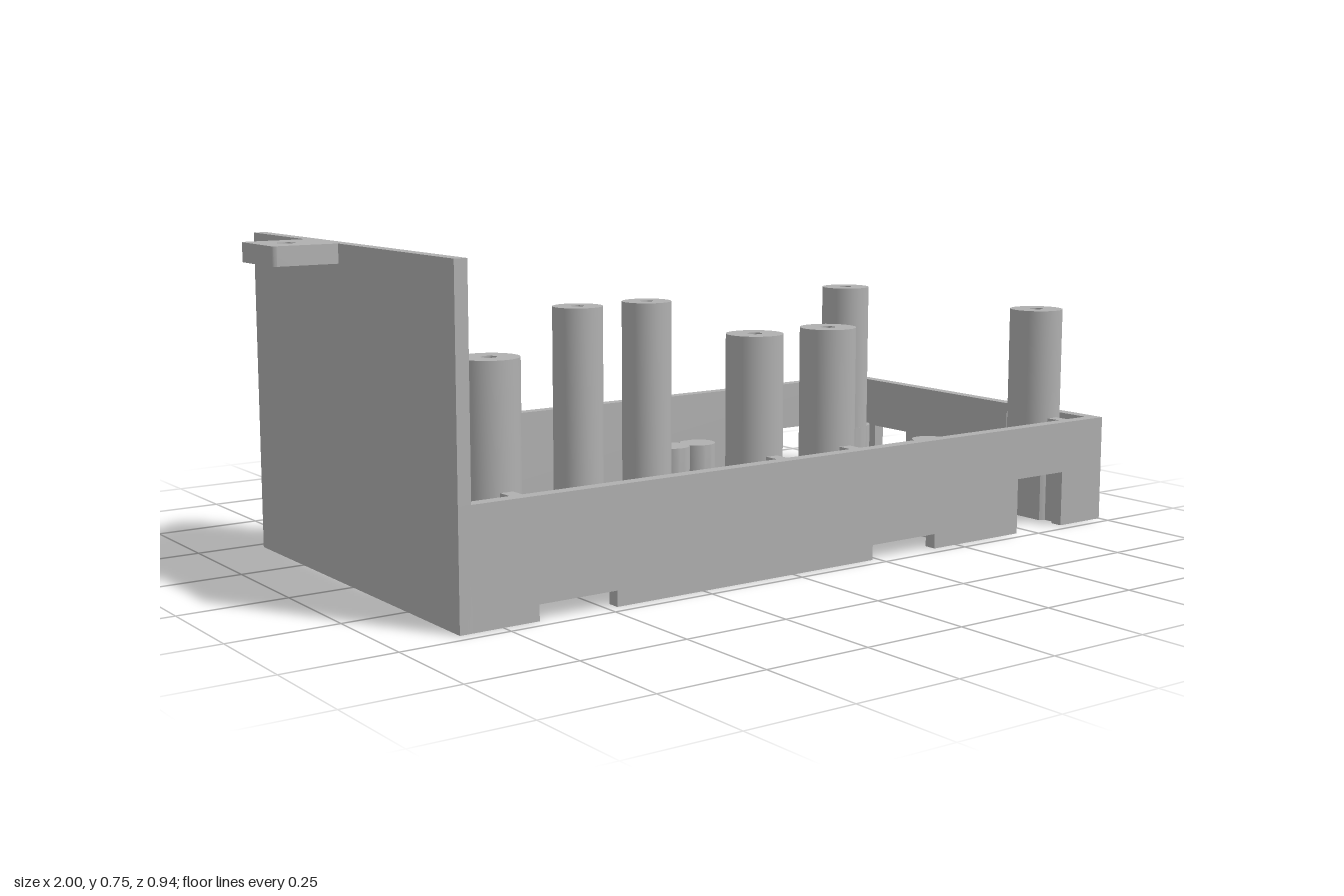
import * as THREE from 'three';
import { toCreasedNormals } from 'three/addons/utils/BufferGeometryUtils.js';

const T = 0.03;       // wall thickness
const H = 0.26;       // rim height
const POST_R = 0.065;
const POST_TOP = 0.53;
const NOTCH_TOP = 0.135;

export function createModel() {
  const model = new THREE.Group();
  model.name = 'enclosureFrame';
  const grey = new THREE.MeshStandardMaterial({ color: 0xb0b0b0 });
  grey.name = 'plasticGrey';

  const add = (name, geometry, x = 0, y = 0, z = 0) => {
    const mesh = new THREE.Mesh(geometry, grey);
    mesh.name = name;
    mesh.position.set(x, y, z);
    model.add(mesh);
    return mesh;
  };
  const box = (name, x0, x1, y0, y1, z0, z1) =>
    add(name, new THREE.BoxGeometry(x1 - x0, y1 - y0, z1 - z0), (x0 + x1) / 2, (y0 + y1) / 2, (z0 + z1) / 2);
  const extrude = (shape, depth) =>
    toCreasedNormals(new THREE.ExtrudeGeometry(shape, { depth, bevelEnabled: false, curveSegments: 24 }), 0.6);

  // Wall outline with notches [from, to, height] rising from the bottom edge
  const wallShape = (a, b, notches) => {
    const s = new THREE.Shape();
    s.moveTo(a, 0);
    for (const [n0, n1, h] of notches) {
      s.lineTo(n0, 0);
      s.lineTo(n0, h);
      s.lineTo(n1, h);
      s.lineTo(n1, 0);
    }
    s.lineTo(b, 0);
    s.lineTo(b, H);
    s.lineTo(a, H);
    s.closePath();
    return s;
  };

  // Solid of revolution with a stepped bore, as a closed profile
  const turned = (points) => toCreasedNormals(
    new THREE.LatheGeometry([...points, points[0]].map(([r, y]) => new THREE.Vector2(r, y)), 40), 0.6);

  // Long walls
  const longNotches = [[-0.665, -0.475, 0.035], [0.235, 0.43, 0.035], [0.705, 0.86, NOTCH_TOP]];
  const longWall = extrude(wallShape(-0.85, 1, longNotches), T);
  add('frontWall', longWall, 0, 0, 0.47 - T);
  add('backWall', longWall, 0, 0, -0.47);

  // Low end wall with a window and two notches
  const endShape = wallShape(-0.47 + T, 0.47 - T, [[-0.345, -0.215, 0.13], [-0.12, 0.08, 0.035]]);
  const windowHole = new THREE.Path();
  windowHole.moveTo(0.17, 0.11);
  windowHole.lineTo(0.17, 0.24);
  windowHole.lineTo(0.305, 0.24);
  windowHole.lineTo(0.305, 0.11);
  windowHole.closePath();
  endShape.holes.push(windowHole);
  add('lowEndWall', extrude(endShape, T).rotateY(-Math.PI / 2), 1, 0, 0);

  // Tall end wall
  box('tallEndWall', -0.85, -0.85 + T, 0, 0.745, -0.47, 0.47);

  // Mounting tab with rounded outer corners and a screw hole
  const tab = new THREE.Shape();
  const [x0, x1, z0, z1, c] = [-1, -0.85, -0.195, 0, 0.012];
  const far = -0.03 + z1;
  tab.moveTo(x1, -far);
  tab.lineTo(x1, -z0);
  tab.lineTo(x0 + c, -z0);
  tab.quadraticCurveTo(x0, -z0, x0, -z0 - c);
  tab.lineTo(x0, -far + c);
  tab.quadraticCurveTo(x0, -far, x0 + c, -far);
  tab.closePath();
  const tabHole = new THREE.Path();
  tabHole.absarc(-0.932, 0.112, 0.02, 0, Math.PI * 2, true);
  tab.holes.push(tabHole);
  add('mountingTab', extrude(tab, 0.043).rotateX(-Math.PI / 2), 0, 0.702, 0);

  // Screw posts: narrow bore at the top, wider counterbore below
  const postProfile = (bottom) => [
    [POST_R, bottom], [POST_R, POST_TOP], [0.017, POST_TOP],
    [0.017, bottom + 0.12], [0.035, bottom + 0.12], [0.035, bottom]];
  const fullPost = turned(postProfile(0));
  const shortPost = turned([
    [POST_R, NOTCH_TOP], [POST_R, POST_TOP], [0.017, POST_TOP], [0.017, NOTCH_TOP]]);

  // Foot of the corner posts, cut flat beside the tall notch
  const foot = new THREE.Shape();
  const cut = Math.acos(-0.03 / POST_R);
  foot.absarc(0, 0, POST_R, -cut, cut, false);
  foot.closePath();
  const footHole = new THREE.Path();
  footHole.absarc(0, 0, 0.026, 0, Math.PI * 2, true);
  foot.holes.push(footHole);
  const footGeo = extrude(foot, NOTCH_TOP).rotateX(-Math.PI / 2);

  for (const z of [0.34, -0.39]) {
    for (const x of [-0.7, -0.012, 0.203]) add('screwPost', fullPost, x, 0, z);
    add('cornerScrewPost', shortPost, 0.89, 0, z);
    add('cornerPostFoot', footGeo, 0.89, 0, z);
  }

  // Ribs joining the front posts to the front wall
  for (const x of [-0.7, -0.012, 0.203, 0.89]) box('postRib', x - 0.015, x + 0.015, 0, H, 0.4, 0.445);

  // Short bosses with a blind hole underneath
  const bossProfile = (bottom) => turned([
    [0.048, bottom], [0.048, 0.135], [0, 0.135], [0, 0.1], [0.016, 0.1], [0.016, bottom]]);
  const raisedBoss = bossProfile(0.035);
  const cornerBoss = bossProfile(0);
  for (const side of [1, -1]) {
    for (const x of [-0.61, -0.528, 0.29, 0.375]) add('boss', raisedBoss, x, 0, side * 0.397);
    for (const x of [-0.765, 0.92]) add('cornerBoss', cornerBoss, x, 0, side * 0.385);
  }
  for (const z of [-0.07, 0.02]) add('endBoss', raisedBoss, 0.922, 0, z);

  return model;
}
